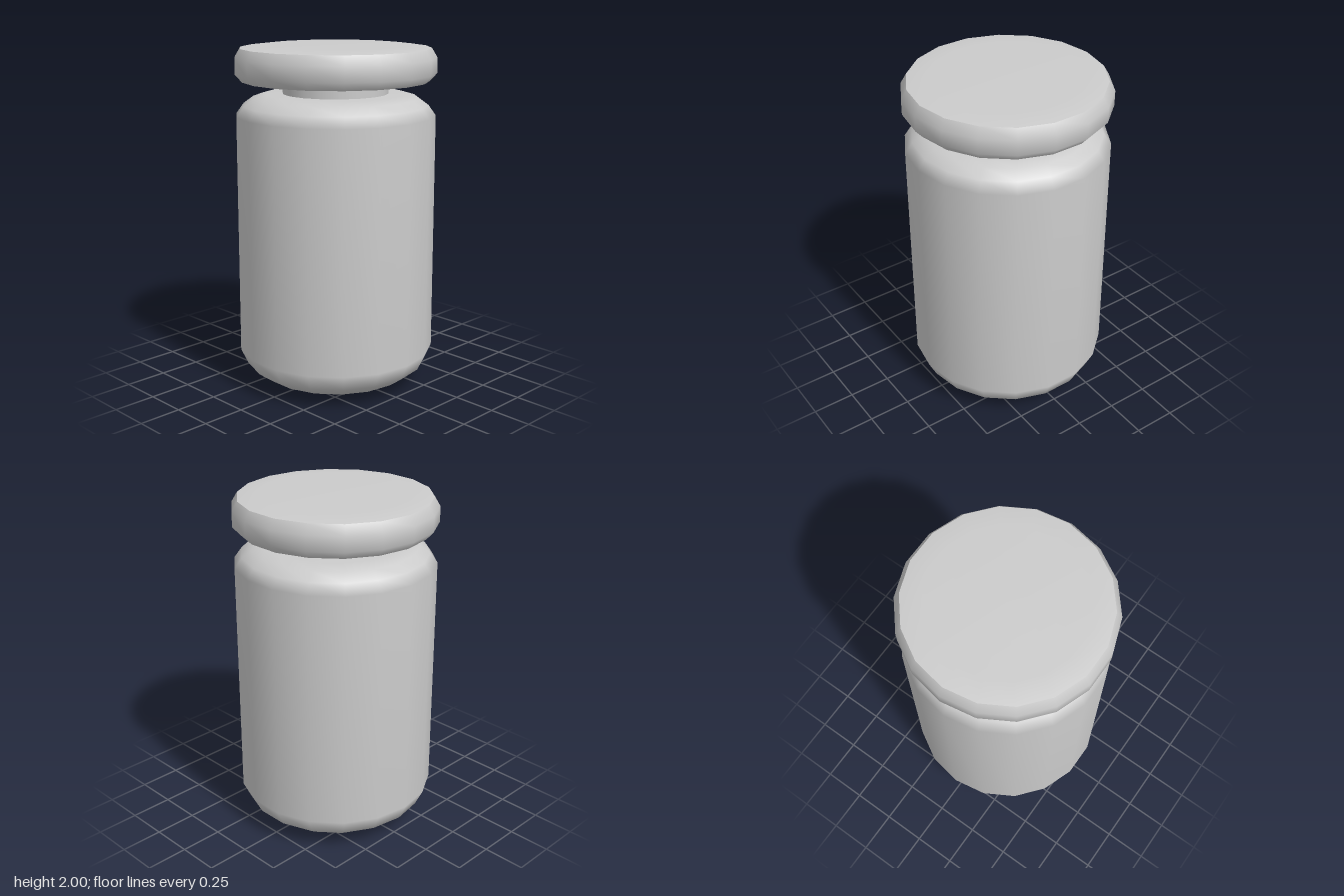
import * as THREE from 'three';

const SIDES = 18;
const material = new THREE.MeshStandardMaterial({ color: 0xcccccc });

// Turned surface with a corner on the x axis; profile runs [radius, height]
function turned(name, profile) {
  const points = profile.map(([r, y]) => new THREE.Vector2(r, y));
  const mesh = new THREE.Mesh(new THREE.LatheGeometry(points, SIDES, Math.PI / 2), material);
  mesh.name = name;
  return mesh;
}

export function createModel() {
  const jar = new THREE.Group();
  jar.name = 'jar';

  // Rounded body with a shallow sloping base
  jar.add(turned('body', [
    [0, 0], [0.14, 0.003], [0.45, 0.058], [0.535, 0.12], [0.58, 0.215],
    [0.577, 1.605], [0.535, 1.663], [0.477, 1.705], [0.4, 1.727], [0, 1.727],
  ]));

  // Short neck between body and lid
  jar.add(turned('neck', [[0.305, 1.7], [0.305, 1.82]]));

  // Lid: separate surfaces keep the rim edges sharp
  const lid = new THREE.Group();
  lid.name = 'lid';
  lid.add(
    turned('lidUnderside', [[0, 1.8], [0.54, 1.8]]),
    turned('lidRim', [[0.54, 1.8], [0.58, 1.845], [0.58, 1.932], [0.548, 1.986]]),
    turned('lidTop', [[0.548, 1.986], [0.43, 2], [0, 2]]),
  );
  jar.add(lid);

  return jar;
}
